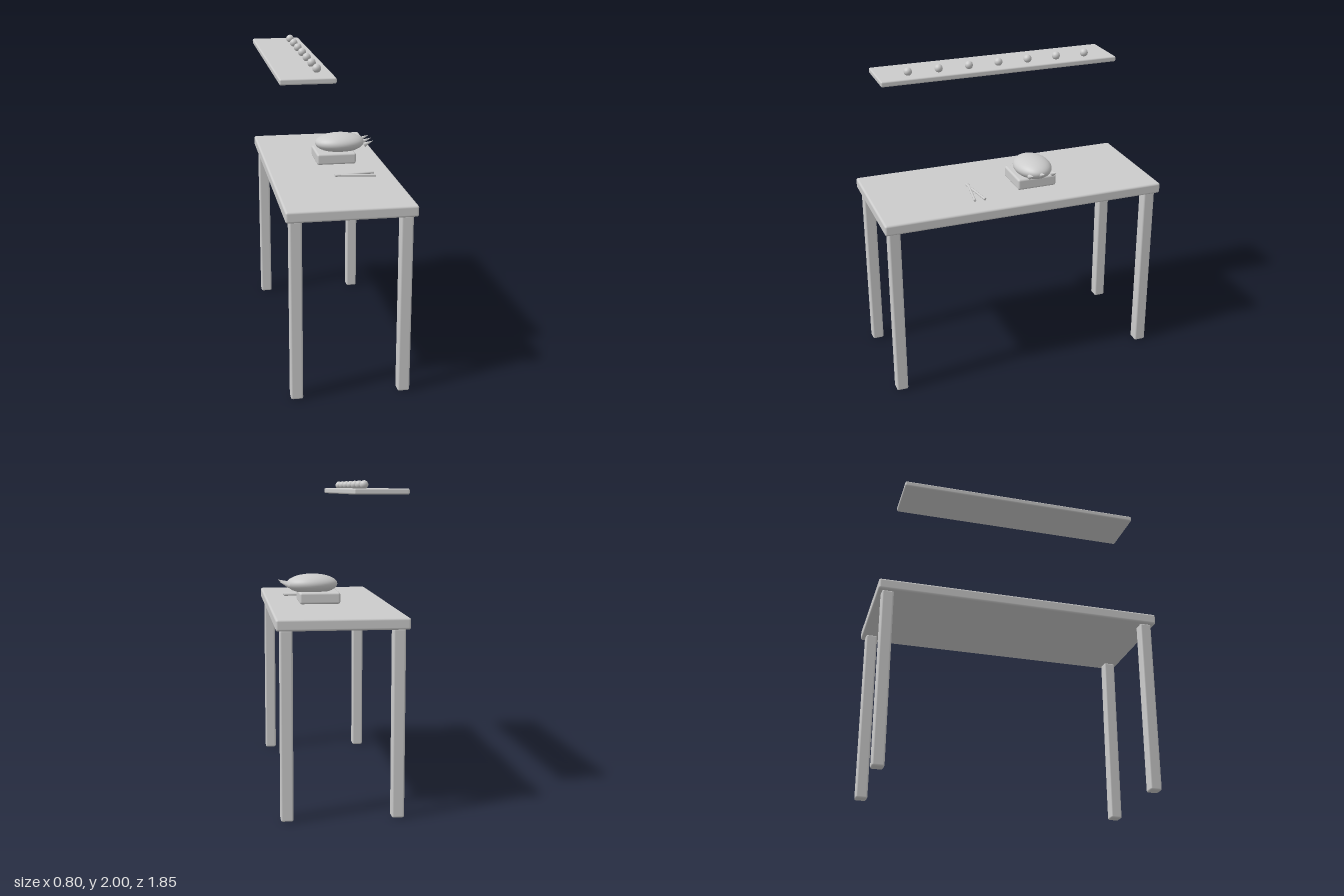
import * as THREE from 'three';
import { RoundedBoxGeometry } from 'three/addons/geometries/RoundedBoxGeometry.js';

export function createModel() {
  const model = new THREE.Group();
  const material = new THREE.MeshStandardMaterial({ color: 0xcccccc });

  const add = (name, geometry, x, y, z) => {
    const mesh = new THREE.Mesh(geometry, material);
    mesh.name = name;
    mesh.position.set(x, y, z);
    model.add(mesh);
    return mesh;
  };
  const slab = (w, h, d, bevel) => new RoundedBoxGeometry(w, h, d, 2, bevel);

  // Table: top and four legs
  add('tableTop', slab(0.788, 0.07, 1.852, 0.014), 0, 1.175, 0);
  const legGeometry = slab(0.076, 1.145, 0.076, 0.012);
  for (const x of [-0.332, 0.332]) {
    for (const z of [-0.863, 0.863]) add('leg', legGeometry, x, 0.5725, z);
  }

  // Hanging shelf with a row of small balls
  add('shelf', slab(0.328, 0.036, 1.588, 0.01), -0.238, 1.934, 0);
  const ballGeometry = new THREE.SphereGeometry(0.026, 24, 16);
  for (let i = -3; i <= 3; i++) add('ball', ballGeometry, -0.16, 1.974, i * 0.2);

  // Block carrying a flattened oval body
  add('block', slab(0.262, 0.074, 0.262, 0.014), 0.068, 1.255, -0.134);
  const body = add('ovalBody', new THREE.SphereGeometry(1, 40, 24), 0.108, 1.339, -0.132);
  body.scale.set(0.166, 0.065, 0.119);

  // Three spikes pointing forward and slightly up from the end of the body
  const spikeGeometry = new THREE.ConeGeometry(0.016, 0.07, 16);
  for (const z of [-0.212, -0.132, -0.054]) {
    add('spike', spikeGeometry, 0.294, 1.347, z).rotation.z = -Math.PI / 2 + 0.4;
  }

  // Pair of thin crossed sticks lying on the table
  const stickGeometry = new THREE.CylinderGeometry(0.008, 0.008, 0.262, 10).rotateZ(Math.PI / 2);
  for (const side of [-1, 1]) {
    add('stick', stickGeometry, 0.135, 1.227, 0.28 + side * 0.014).rotation.y = -side * 0.15;
  }

  return model;
}
